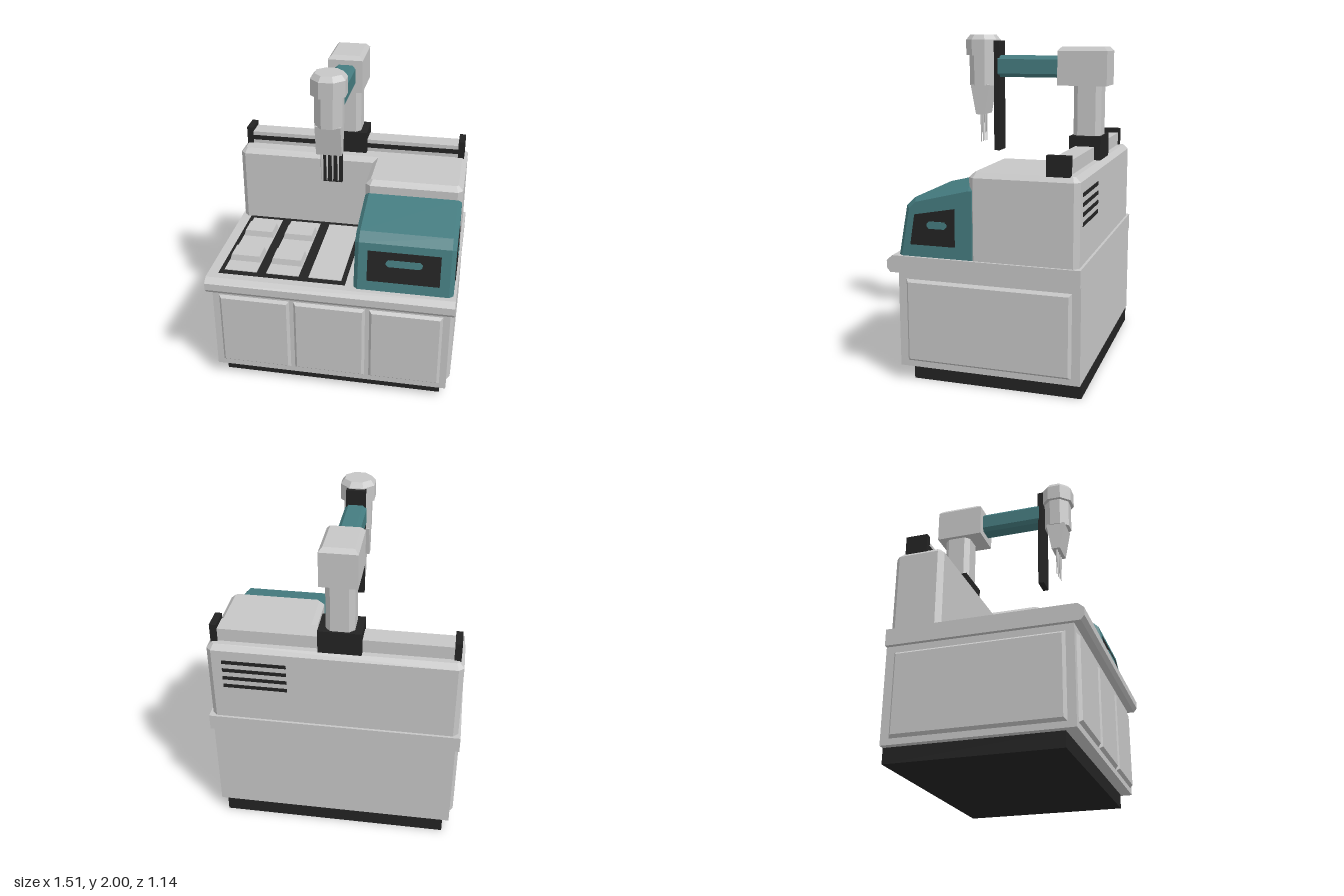
import * as THREE from 'three';

const mat = (name, color) => {
  const m = new THREE.MeshStandardMaterial({ color });
  m.name = name;
  return m;
};

export function createModel() {
  const grey = mat('light grey', 0xc6c6c6);
  const black = mat('black', 0x232323);
  const teal = mat('teal', 0x457c80);
  const model = new THREE.Group();

  const add = (name, geo, material) => {
    const mesh = new THREE.Mesh(geo, material);
    mesh.name = name;
    model.add(mesh);
    return mesh;
  };
  // Box given by its limits on each axis
  const box = (name, m, [x0, x1], [y0, y1], [z0, z1]) => {
    const g = new THREE.BoxGeometry(x1 - x0, y1 - y0, z1 - z0);
    return add(name, g.translate((x0 + x1) / 2, (y0 + y1) / 2, (z0 + z1) / 2), m);
  };
  // Box standing on y = 0 whose top is smaller by an inset on every side
  const taperedBox = (w, h, d, inset) => {
    const g = new THREE.BoxGeometry(w, h, d).translate(0, h / 2, 0);
    const p = g.attributes.position;
    for (let i = 0; i < p.count; i++) {
      if (p.getY(i) < h / 2) continue;
      p.setX(i, p.getX(i) * (1 - 2 * inset / w));
      p.setZ(i, p.getZ(i) * (1 - 2 * inset / d));
    }
    g.computeVertexNormals();
    return g;
  };
  // Extrusion of a polygon from 0 to length, with chamfered ends
  const prism = (pts, length, chamfer = 0) => {
    const shape = new THREE.Shape(pts.map(([x, y]) => new THREE.Vector2(x, y)));
    return new THREE.ExtrudeGeometry(shape, {
      depth: length - 2 * chamfer, bevelEnabled: chamfer > 0, bevelSegments: 1,
      bevelThickness: chamfer, bevelSize: chamfer, bevelOffset: -chamfer,
    }).translate(0, 0, chamfer);
  };
  // Profile in (z, y), running from x0 to x1
  const alongX = (pts, x0, x1, chamfer) =>
    prism(pts, x1 - x0, chamfer).rotateY(-Math.PI / 2).translate(x1, 0, 0);
  // Outline in (x, z), rising from y0 to y1
  const upward = (pts, y0, y1, chamfer) =>
    prism(pts.map(([x, z]) => [x, -z]), y1 - y0, chamfer).rotateX(-Math.PI / 2).translate(0, y0, 0);
  // Centred rectangle with cut corners
  const cutRect = (w, h, c) => {
    const a = w / 2, b = h / 2;
    return [[-a + c, -b], [a - c, -b], [a, -b + c], [a, b - c],
      [a - c, b], [-a + c, b], [-a, b - c], [-a, -b + c]];
  };

  // Cabinet
  box('plinth', black, [-0.69, 0.69], [0, 0.09], [-0.57, 0.44]);
  box('cabinet', grey, [-0.73, 0.73], [0.09, 0.67], [-0.57, 0.508]);
  for (const x of [-0.468, 0, 0.468]) {
    add('frontPanel', taperedBox(0.442, 0.018, 0.495, 0.016)
      .rotateX(Math.PI / 2).translate(x, 0.373, 0.508), grey);
  }
  for (const s of [-1, 1]) {
    add('sidePanel', taperedBox(0.495, 0.02, 0.98, 0.016)
      .rotateZ(-s * Math.PI / 2).translate(s * 0.73, 0.373, -0.03), grey);
  }

  // Worktop with a chamfered front lip
  add('worktop', alongX([[-0.57, 0.66], [0.55, 0.66], [0.57, 0.685], [0.57, 0.73],
    [0.535, 0.76], [-0.57, 0.76]], -0.755, 0.755), grey);

  // Sample deck: three lanes, two of them with racks
  box('deckTray', black, [-0.69, 0.093], [0.75, 0.764], [-0.27, 0.482]);
  [-0.561, -0.299, -0.036].forEach((x, i) => {
    box('deckLane', grey, [x - 0.101, x + 0.101], [0.755, 0.768], [-0.22, 0.445]);
    if (i === 2) return;
    for (const z of [-0.044, 0.267]) {
      add('sampleRack', taperedBox(0.196, 0.039, 0.138, 0.009).translate(x, 0.766, z), grey);
    }
  });

  // L-shaped rear housing
  add('rearHousing', upward([[-0.71, -0.555], [0.71, -0.555], [0.74, -0.525], [0.74, 0.045],
    [0.71, 0.075], [0.175, 0.075], [0.145, 0.045], [0.145, -0.255], [-0.71, -0.255],
    [-0.74, -0.285], [-0.74, -0.525]], 0.70, 1.26, 0.03), grey);
  for (let i = 0; i < 4; i++) {
    const y = 1.155 - i * 0.055;
    box('ventSlot', black, [0.27, 0.65], [y - 0.011, y + 0.011], [-0.559, -0.552]);
  }

  // Teal cover with display windows
  add('cover', alongX([[0.03, 0.71], [0.514, 0.71], [0.452, 1.05], [0.40, 1.10],
    [0.075, 1.18], [0.03, 1.18]], 0.145, 0.738, 0.025), teal);
  const tilt = -Math.atan(0.062 / 0.34);
  const frontZ = (y) => 0.514 - (y - 0.71) * 0.062 / 0.34;
  add('frontWindow', new THREE.BoxGeometry(0.43, 0.188, 0.008)
    .rotateX(tilt).translate(0.44, 0.912, frontZ(0.912)), black);
  add('frontWindowMark', prism(cutRect(0.215, 0.042, 0.014), 0.008)
    .rotateX(tilt).translate(0.442, 0.938, frontZ(0.938)), teal);
  add('sideWindow', alongX([[0.155, 0.83], [0.425, 0.83], [0.397, 1.005], [0.155, 1.05]],
    0.734, 0.742), black);
  add('sideWindowMark', alongX(cutRect(0.12, 0.042, 0.014), 0.739, 0.746)
    .translate(0, 0.95, 0.262), teal);

  // Linear rail and carriage
  box('rail', grey, [-0.69, 0.69], [1.25, 1.34], [-0.49, -0.372]);
  box('railSlot', black, [-0.69, 0.69], [1.285, 1.315], [-0.375, -0.368]);
  for (const s of [-0.7, 0.7]) {
    box('railEnd', black, [s - 0.02, s + 0.02], [1.255, 1.37], [-0.5, -0.366]);
  }
  const cx = -0.037;
  box('carriage', black, [cx - 0.126, cx + 0.126], [1.255, 1.4], [-0.527, -0.335]);

  // Column, shoulder and arm
  add('column', upward(cutRect(0.166, 0.17, 0.03), 1.39, 1.71).translate(cx, 0, -0.43), grey);
  box('shoulder', grey, [cx - 0.108, cx + 0.108], [1.7, 1.905], [-0.555, -0.253]);
  add('shoulderCap', taperedBox(0.216, 0.025, 0.302, 0.022).translate(cx, 1.905, -0.404), grey);
  add('arm', prism(cutRect(0.128, 0.132, 0.022), 0.4).translate(cx, 1.809, -0.26), teal);
  box('verticalSlide', black, [cx - 0.057, cx + 0.057], [1.285, 1.965], [0.13, 0.166]);

  // Octagonal dispensing head, sized across its flats
  const octagon = (name, top, bottom, y0, y1) => {
    const k = 1 / Math.cos(Math.PI / 8);
    const g = new THREE.CylinderGeometry(top * k, bottom * k, y1 - y0, 8)
      .rotateY(Math.PI / 8).toNonIndexed();
    g.computeVertexNormals();
    add(name, g.translate(cx, (y0 + y1) / 2, 0.253), grey);
  };
  octagon('headBody', 0.081, 0.081, 1.69, 1.88);
  octagon('headCap', 0.1, 0.1, 1.875, 1.97);
  octagon('headCapTop', 0.077, 0.1, 1.97, 2);
  add('headNose', alongX([[0.226, 1.51], [0.28, 1.51], [0.314, 1.695], [0.192, 1.695]],
    cx - 0.075, cx + 0.075), grey);

  // Needles
  for (let i = 0; i < 4; i++) {
    const x = cx + (i - 1.5) * 0.033;
    add('needle', new THREE.CylinderGeometry(0.007, 0.003, 0.18, 8)
      .translate(x, 1.425, 0.253), grey);
  }
  return model;
}
